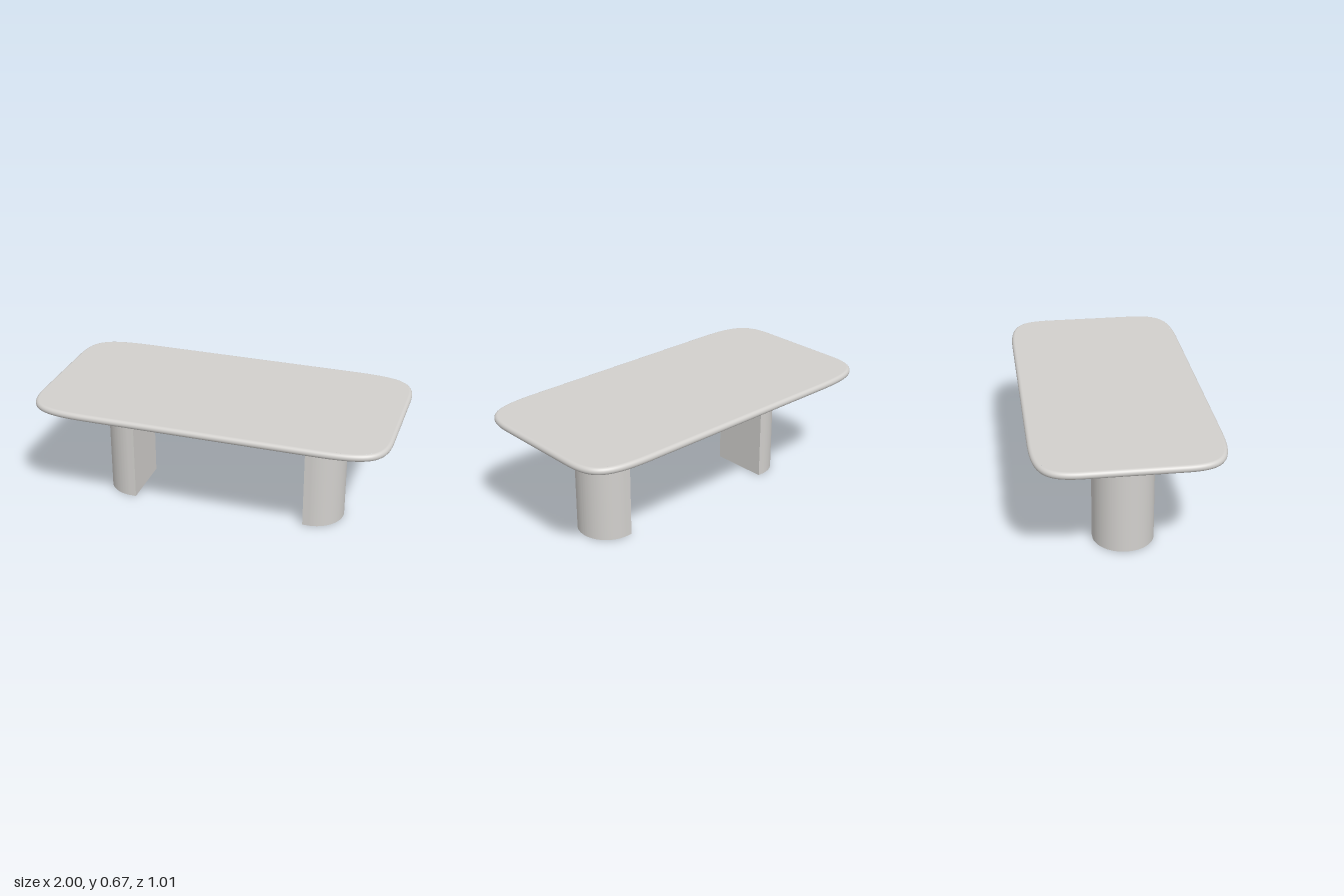
import * as THREE from 'three';
import { toCreasedNormals } from 'three/addons/utils/BufferGeometryUtils.js';

const HX = 1, HZ = 0.505;        // half length and half width of the top
const Y0 = 0.628, Y1 = 0.668;    // underside and upper face of the top
const R = (Y1 - Y0) / 2;         // bullnose radius

// Rectangle with long, soft corners
function topOutline() {
  const sx = 0.63, sz = 0.25, k = 0.8;
  const cx = sx + (HX - sx) * k, cz = sz + (HZ - sz) * k;
  const s = new THREE.Shape();
  s.moveTo(HX, -sz);
  s.lineTo(HX, sz);
  s.bezierCurveTo(HX, cz, cx, HZ, sx, HZ);
  s.lineTo(-sx, HZ);
  s.bezierCurveTo(-cx, HZ, -HX, cz, -HX, sz);
  s.lineTo(-HX, -sz);
  s.bezierCurveTo(-HX, -cz, -cx, -HZ, -sx, -HZ);
  s.lineTo(sx, -HZ);
  s.bezierCurveTo(cx, -HZ, HX, -cz, HX, -sz);
  const pts = s.getSpacedPoints(240);
  pts.pop();
  return pts;
}

function createTop(material) {
  const group = new THREE.Group();
  group.name = 'tableTop';
  const pts = topOutline(), n = pts.length, steps = 12;
  const normals2 = pts.map((p, i) => {
    const t = pts[(i + 1) % n].clone().sub(pts[(i + n - 1) % n]).normalize();
    return new THREE.Vector2(t.y, -t.x);
  });

  // Half-round edge swept around the outline
  const pos = [], nor = [], idx = [];
  for (let j = 0; j <= steps; j++) {
    const a = -Math.PI / 2 + Math.PI * j / steps, c = Math.cos(a), s = Math.sin(a);
    for (let i = 0; i < n; i++) {
      const p = pts[i], m = normals2[i], d = R * (c - 1);
      pos.push(p.x + m.x * d, (Y0 + Y1) / 2 + R * s, p.y + m.y * d);
      nor.push(m.x * c, s, m.y * c);
      if (j < steps) {
        const i2 = (i + 1) % n, A = j * n + i, B = j * n + i2, C = A + n, D = B + n;
        idx.push(A, C, B, B, C, D);
      }
    }
  }
  const edge = new THREE.BufferGeometry();
  edge.setAttribute('position', new THREE.Float32BufferAttribute(pos, 3));
  edge.setAttribute('normal', new THREE.Float32BufferAttribute(nor, 3));
  edge.setIndex(idx);
  const edgeMesh = new THREE.Mesh(edge, material);
  edgeMesh.name = 'roundedEdge';
  group.add(edgeMesh);

  // Flat upper and lower faces
  const inner = new THREE.Shape(pts.map((p, i) => p.clone().addScaledVector(normals2[i], -R)));
  for (const [name, y, dir] of [['upperFace', Y1, -1], ['underside', Y0, 1]]) {
    const face = new THREE.Mesh(new THREE.ShapeGeometry(inner).rotateX(dir * Math.PI / 2), material);
    face.name = name;
    face.position.y = y;
    group.add(face);
  }
  return group;
}

// D-shaped column: flat side at x = 0, round side towards +x
function createLegGeometry() {
  const r = 0.168, depth = 0.2;
  const s = new THREE.Shape();
  s.moveTo(0, -r);
  s.lineTo(depth - r, -r);
  s.absarc(depth - r, 0, r, -Math.PI / 2, Math.PI / 2, false);
  s.lineTo(0, r);
  s.closePath();
  const g = new THREE.ExtrudeGeometry(s, { depth: Y0 + 0.002, bevelEnabled: false, curveSegments: 40 });
  g.rotateX(-Math.PI / 2);
  return toCreasedNormals(g, Math.PI / 6);
}

export function createModel() {
  const model = new THREE.Group();
  model.name = 'table';
  const material = new THREE.MeshStandardMaterial({ color: 0xd2d0cd });
  material.name = 'warm light grey';

  model.add(createTop(material));

  // Flat sides of the legs face each other
  const legGeometry = createLegGeometry();
  for (const [name, x, turn] of [['leftLeg', 0.51, 0], ['rightLeg', -0.495, Math.PI]]) {
    const leg = new THREE.Mesh(legGeometry, material);
    leg.name = name;
    leg.position.set(x, 0, 0.006);
    leg.rotation.y = turn;
    model.add(leg);
  }
  return model;
}
